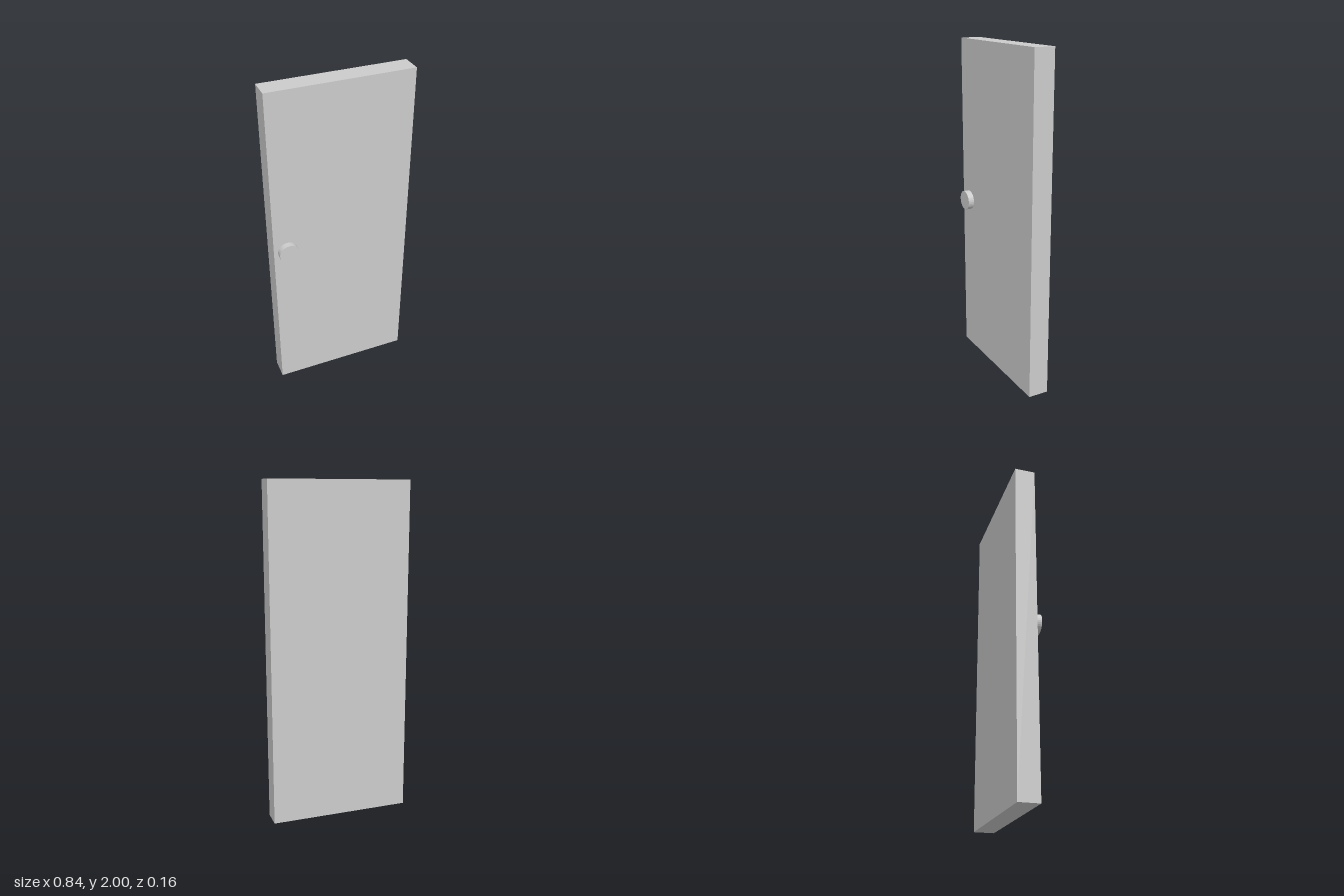
import * as THREE from 'three';

export function createModel() {
  const model = new THREE.Group();
  model.name = 'door';
  const material = new THREE.MeshStandardMaterial({ color: 0xcccccc, flatShading: true });

  const add = (name, geometry, x, y, z) => {
    const mesh = new THREE.Mesh(geometry, material);
    mesh.name = name;
    mesh.position.set(x, y, z);
    model.add(mesh);
  };

  // Plain slab, standing on the ground
  const back = -0.079, front = 0.043;
  add('doorPanel', new THREE.BoxGeometry(0.842, 2, front - back), 0, 1, (front + back) / 2);

  // Short round knob on the front face, its base slightly sunk into the panel
  const knobBase = front - 0.005, knobFront = 0.079;
  const knob = new THREE.CylinderGeometry(0.059, 0.059, knobFront - knobBase, 32);
  knob.rotateX(Math.PI / 2);
  add('doorKnob', knob, -0.337, 1.01, (knobBase + knobFront) / 2);

  return model;
}
